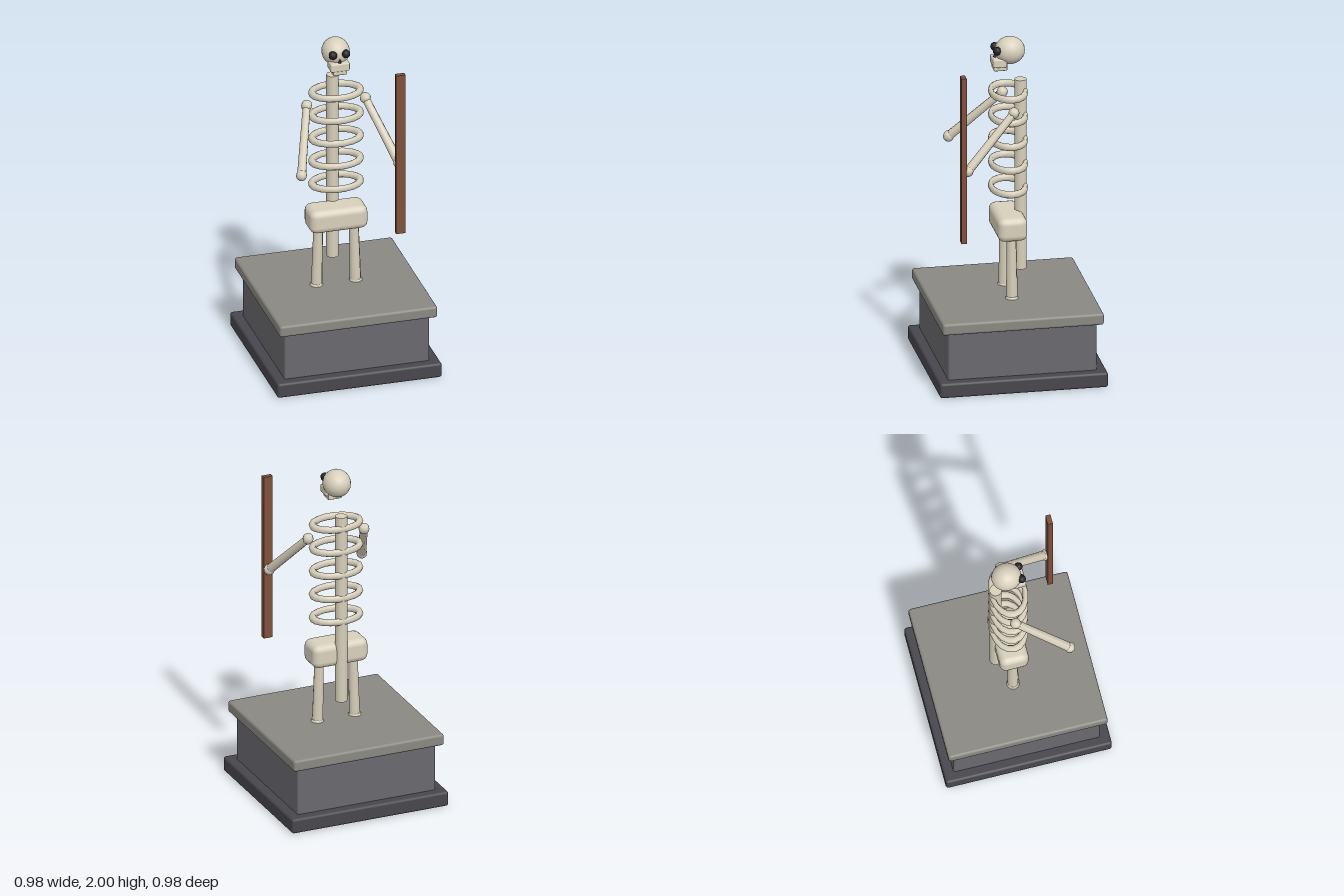
import * as THREE from 'three';
import { RoundedBoxGeometry } from 'three/addons/geometries/RoundedBoxGeometry.js';

const mat = (color) => new THREE.MeshStandardMaterial({ color });

export function createModel() {
  const model = new THREE.Group();
  const bone = mat(0xd8d0bc);
  const dark = mat(0x222224);
  const wood = mat(0x7d4f3a);

  const add = (name, geometry, material, x, y, z, parent = model) => {
    const mesh = new THREE.Mesh(geometry, material);
    mesh.name = name;
    mesh.position.set(x, y, z);
    parent.add(mesh);
    return mesh;
  };

  // Tapered bone running from point a to point b
  const addBone = (name, a, b, rA, rB, parent) => {
    const from = new THREE.Vector3(...a);
    const to = new THREE.Vector3(...b);
    const dir = to.clone().sub(from);
    const mid = from.clone().add(to).multiplyScalar(0.5);
    const mesh = add(name, new THREE.CylinderGeometry(rB, rA, dir.length(), 8), bone, mid.x, mid.y, mid.z, parent);
    mesh.quaternion.setFromUnitVectors(new THREE.Vector3(0, 1, 0), dir.normalize());
  };

  // Stepped pedestal: name, width, bottom, top, edge radius, colour
  const steps = [
    ['pedestalFoot', 0.98, 0, 0.09, 0.015, 0x47464c],
    ['pedestalBlock', 0.865, 0.07, 0.39, 0.012, 0x69686e],
    ['pedestalSlab', 0.94, 0.375, 0.445, 0.015, 0x8a8882],
  ];
  for (const [name, w, y0, y1, r, color] of steps) {
    add(name, new RoundedBoxGeometry(w, y1 - y0, w, 2, r), mat(color), 0, (y0 + y1) / 2, 0);
  }

  // Spine, pelvis and ribs
  add('spine', new THREE.CylinderGeometry(0.036, 0.036, 1.155, 10), bone, 0, 1.16, -0.073);
  add('pelvis', new RoundedBoxGeometry(0.344, 0.142, 0.172, 2, 0.04), bone, 0, 0.871, 0);
  const ribGeometry = new THREE.TorusGeometry(0.142, 0.022, 8, 18).rotateX(Math.PI / 2).scale(1, 1, 0.69);
  for (let i = 0; i < 5; i++) add('rib', ribGeometry, bone, 0, 1.085 + i * 0.145, 0);

  // Paired limbs
  for (const side of [1, -1]) {
    const label = side > 0 ? 'left' : 'right';
    const leg = new THREE.Group();
    leg.name = label + 'Leg';
    addBone('legBone', [side * 0.116, 0.43, 0], [side * 0.105, 0.86, 0], 0.034, 0.028, leg);
    add('foot', new THREE.SphereGeometry(0.041, 10, 8), bone, side * 0.117, 0.432, 0, leg);

    const arm = new THREE.Group();
    arm.name = label + 'Arm';
    const shoulder = [side * 0.175, 1.597, 0];
    const hand = [side * 0.29, 1.305, 0.29];
    addBone('armBone', shoulder, hand, 0.023, 0.027, arm);
    for (const [name, p] of [['shoulder', shoulder], ['hand', hand]]) {
      add(name, new THREE.SphereGeometry(0.033, 8, 6), bone, ...p, arm);
    }
    model.add(leg, arm);
  }

  // Skull with jaw, eye sockets and nose
  const head = new THREE.Group();
  head.name = 'head';
  model.add(head);
  add('skull', new THREE.SphereGeometry(0.081, 20, 14).scale(1, 1, 1.08), bone, 0, 1.918, -0.01, head);
  add('upperJaw', new RoundedBoxGeometry(0.114, 0.05, 0.08, 1, 0.008), bone, 0, 1.857, 0.055, head);
  add('lowerJaw', new RoundedBoxGeometry(0.084, 0.045, 0.078, 1, 0.006), bone, 0, 1.829, 0.05, head);
  for (const x of [-0.039, 0.039]) {
    add('eyeSocket', new THREE.SphereGeometry(0.025, 10, 8), dark, x, 1.931, 0.071, head);
  }
  add('nose', new THREE.ConeGeometry(0.015, 0.034, 4), dark, 0, 1.892, 0.077, head);

  // Staff held at the left hand
  add('staff', new THREE.BoxGeometry(0.056, 1.01, 0.03), wood, 0.29, 1.377, 0.317);

  return model;
}
